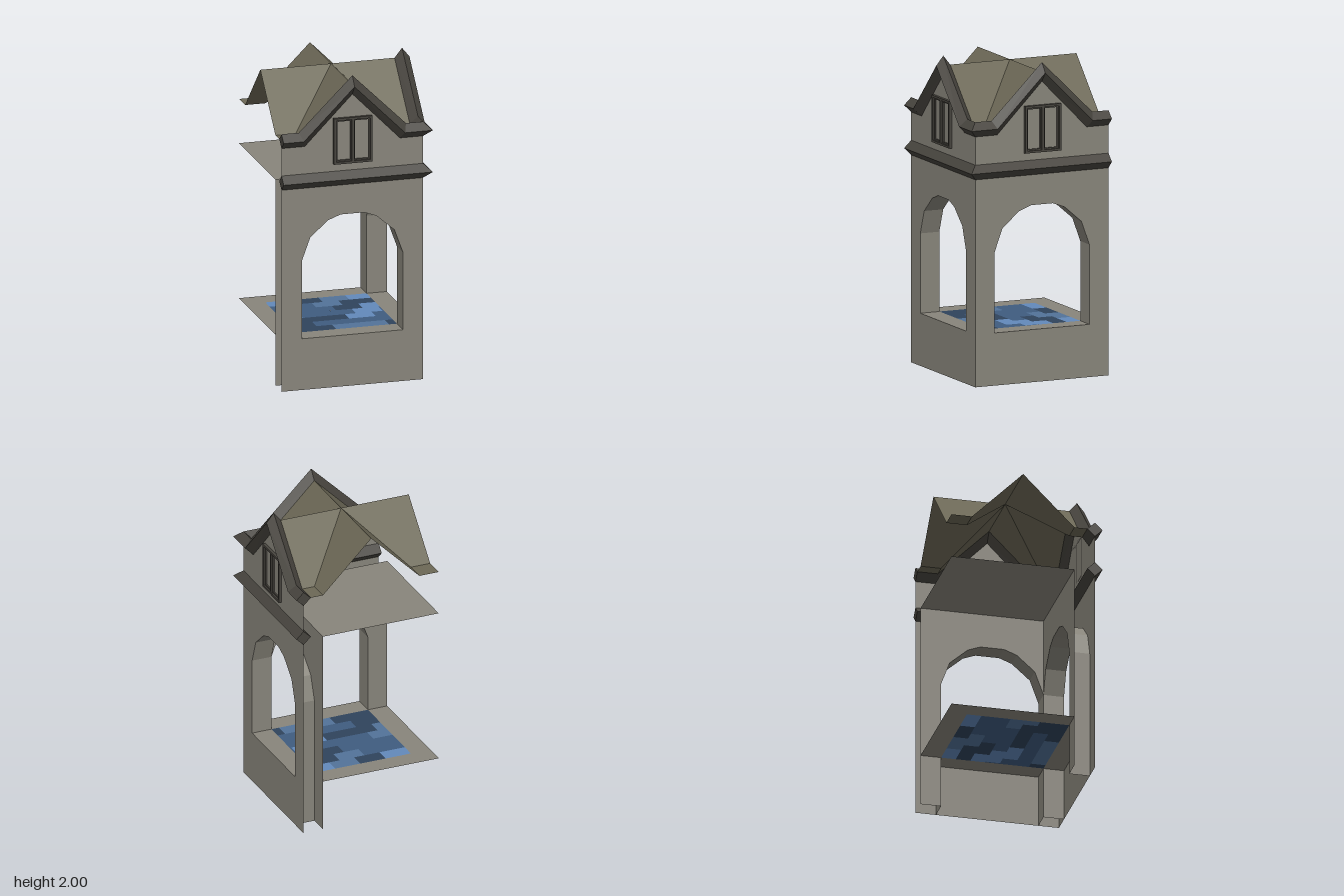
import * as THREE from 'three';
import { mergeGeometries } from 'three/addons/utils/BufferGeometryUtils.js';

// Plan: two walls (+z and +x) meet at a corner, the other two sides are open.
const BACK = -0.48, IN = 0.30, OUT = 0.43, C = -0.025, HALF = 0.325;
const SILL = 0.33, CEIL = 1.33, EAVE = 1.615, RIDGE = 1.94;

const paint = (color) => new THREE.MeshStandardMaterial({ color, side: THREE.DoubleSide, flatShading: true });
const stone = paint(0x88857b), roofing = paint(0x6c6856), timber = paint(0x47443e);
const blues = [0x6289bb, 0x527399, 0x3f5c80, 0x2f435c].map(paint);

function part(name, geometry, material) {
  const mesh = new THREE.Mesh(geometry, material);
  mesh.name = name;
  return mesh;
}

// Faceted surface from a list of four-cornered faces
function quads(faces) {
  const pos = [];
  for (const [a, b, c, d] of faces) pos.push(...a, ...b, ...c, ...a, ...c, ...d);
  const g = new THREE.BufferGeometry();
  g.setAttribute('position', new THREE.Float32BufferAttribute(pos, 3));
  g.computeVertexNormals();
  return g;
}

const flat = (x0, x1, z0, z1, y) => [[x0, y, z0], [x0, y, z1], [x1, y, z1], [x1, y, z0]];
const shapeOf = (pts) => new THREE.Shape(pts.map(([x, y]) => new THREE.Vector2(x, y)));
const rect = (x0, x1, y0, y1) => [[x0, y0], [x1, y0], [x1, y1], [x0, y1]];

// Diamond moulding: each section has a centre and its up and outward offsets
function moulding(sections) {
  const rings = sections.map(({ p: [x, y, z], u: [ux, uy], o: [ox, oz] }) => [
    [x + ux, y + uy, z], [x + ox, y, z + oz], [x - ux, y - uy, z], [x - ox, y, z - oz],
  ]);
  const faces = [rings[0]];
  for (let i = 0; i + 1 < rings.length; i++)
    for (let k = 0; k < 4; k++) {
      const n = (k + 1) % 4;
      faces.push([rings[i][k], rings[i + 1][k], rings[i + 1][n], rings[i][n]]);
    }
  return quads(faces);
}

// Faceted arch from the left foot to the right foot
function archLine(foot) {
  const half = [[HALF, foot], [HALF, 0.83], [0.27, 0.98], [0.155, 1.08], [0.075, 1.11]];
  return [...half.map(([x, y]) => [C - x, y]), ...half.reverse().map(([x, y]) => [C + x, y])];
}

function createSide(name) {
  const side = new THREE.Group();
  side.name = name;

  // Outer skin with gable and arched opening
  const outer = shapeOf([[BACK, 0], [OUT, 0], [OUT, EAVE], [C + HALF, EAVE], [C, RIDGE], [C - HALF, EAVE], [BACK, EAVE]]);
  outer.holes.push(shapeOf(archLine(SILL)));
  side.add(part('outerWall', new THREE.ShapeGeometry(outer).translate(0, 0, OUT), stone));

  // Inner skin
  const inner = shapeOf([[BACK, 0], ...archLine(0).slice(0, -1), [IN, CEIL], [BACK, CEIL]]);
  side.add(part('innerWall', new THREE.ShapeGeometry(inner).translate(0, 0, IN), stone));

  // Depth of the opening and its sill
  const line = archLine(0), reveal = [];
  for (let i = 0; i + 1 < line.length; i++) {
    const a = line[i], b = line[i + 1];
    reveal.push([[...a, IN], [...a, OUT], [...b, OUT], [...b, IN]]);
  }
  side.add(part('archReveal', quads(reveal), stone));
  side.add(part('sill', quads([flat(C - HALF, IN, IN, OUT, SILL)]), stone));

  // Belt moulding, mitred at the corner
  const r = 0.046, up = [0, r], out = [0, 0.048], corner = [0.048, 0.048];
  side.add(part('beltMoulding', moulding([
    { p: [BACK, 1.346, OUT], u: up, o: out },
    { p: [OUT, 1.346, OUT], u: up, o: corner },
  ]), timber));

  // Gable moulding following the roof line
  const lean = r * Math.tan(Math.PI / 8);
  side.add(part('gableMoulding', moulding([
    { p: [BACK, EAVE, OUT], u: up, o: out },
    { p: [C - HALF, EAVE, OUT], u: [-lean, r], o: out },
    { p: [C, RIDGE, OUT], u: [0, 0.06], o: out },
    { p: [C + HALF, EAVE, OUT], u: [lean, r], o: out },
    { p: [OUT, EAVE, OUT], u: up, o: corner },
  ]), timber));

  // Window: outer frame with a mullion, and a thinner inner frame
  const frame = (edge, post, y0, y1, w, depth) => {
    const s = shapeOf(rect(C - edge, C + edge, y0, y1));
    s.holes.push(shapeOf(rect(C - edge + w, C - post, y0 + w, y1 - w)));
    s.holes.push(shapeOf(rect(C + post, C + edge - w, y0 + w, y1 - w)));
    return new THREE.ExtrudeGeometry(s, { depth, bevelEnabled: false }).translate(0, 0, OUT);
  };
  side.add(part('windowFrame', frame(0.123, 0.008, 1.44, 1.735, 0.014, 0.02), timber));
  side.add(part('windowSash', frame(0.112, 0.015, 1.45, 1.725, 0.013, 0.01), timber));
  return side;
}

// Crossed gable roof: four arms with two slopes each, and flat corners
function createRoof() {
  const faces = [];
  const reach = (s) => (s > 0 ? 0.41 : 0.455);
  for (const sx of [-1, 1])
    for (const sz of [-1, 1]) {
      const kx = C + sx * HALF, kz = C + sz * HALF;
      const ex = C + sx * reach(sx), ez = C + sz * reach(sz);
      faces.push([[C, RIDGE, C], [C, RIDGE, ez], [kx, EAVE, ez], [kx, EAVE, kz]]);
      faces.push([[C, RIDGE, C], [kx, EAVE, kz], [ex, EAVE, kz], [ex, RIDGE, C]]);
      faces.push(flat(kx, ex, kz, ez, EAVE));
    }
  return part('roof', quads(faces), roofing);
}

// Floor panel of staggered blue tiles
function createTiles() {
  const group = new THREE.Group();
  group.name = 'floorTiles';
  const sets = blues.map(() => []);
  let seed = 7;
  const next = () => (seed = (seed * 16807) % 2147483647) / 2147483647;
  const lo = C - HALF, rows = 7, d = (2 * HALF) / rows, len = 0.17;
  for (let r = 0; r < rows; r++)
    for (let x = lo - ((r * 0.07) % len); x < IN - 0.001; x += len) {
      const x0 = Math.max(x, lo), x1 = Math.min(x + len, IN);
      if (x1 - x0 < 0.001) continue;
      sets[Math.floor(next() * blues.length)].push(quads([flat(x0, x1, lo + r * d, lo + (r + 1) * d, SILL)]));
    }
  sets.forEach((s, i) => s.length && group.add(part('tiles' + (i + 1), mergeGeometries(s), blues[i])));
  return group;
}

export function createModel() {
  const model = new THREE.Group();
  model.name = 'cornerTower';

  // The second wall is the first with x and z swapped
  const right = createSide('sideWall');
  right.rotation.y = Math.PI / 2;
  right.scale.x = -1;
  model.add(createSide('frontWall'), right);

  // Floor border on the open sides, and ceiling
  const lo = C - HALF;
  model.add(part('floorBorder', quads([flat(BACK, IN, BACK, lo, SILL), flat(BACK, lo, lo, IN, SILL)]), stone));
  model.add(part('ceiling', quads([flat(BACK, IN, BACK, IN, CEIL)]), stone));
  model.add(createTiles(), createRoof());
  return model;
}
